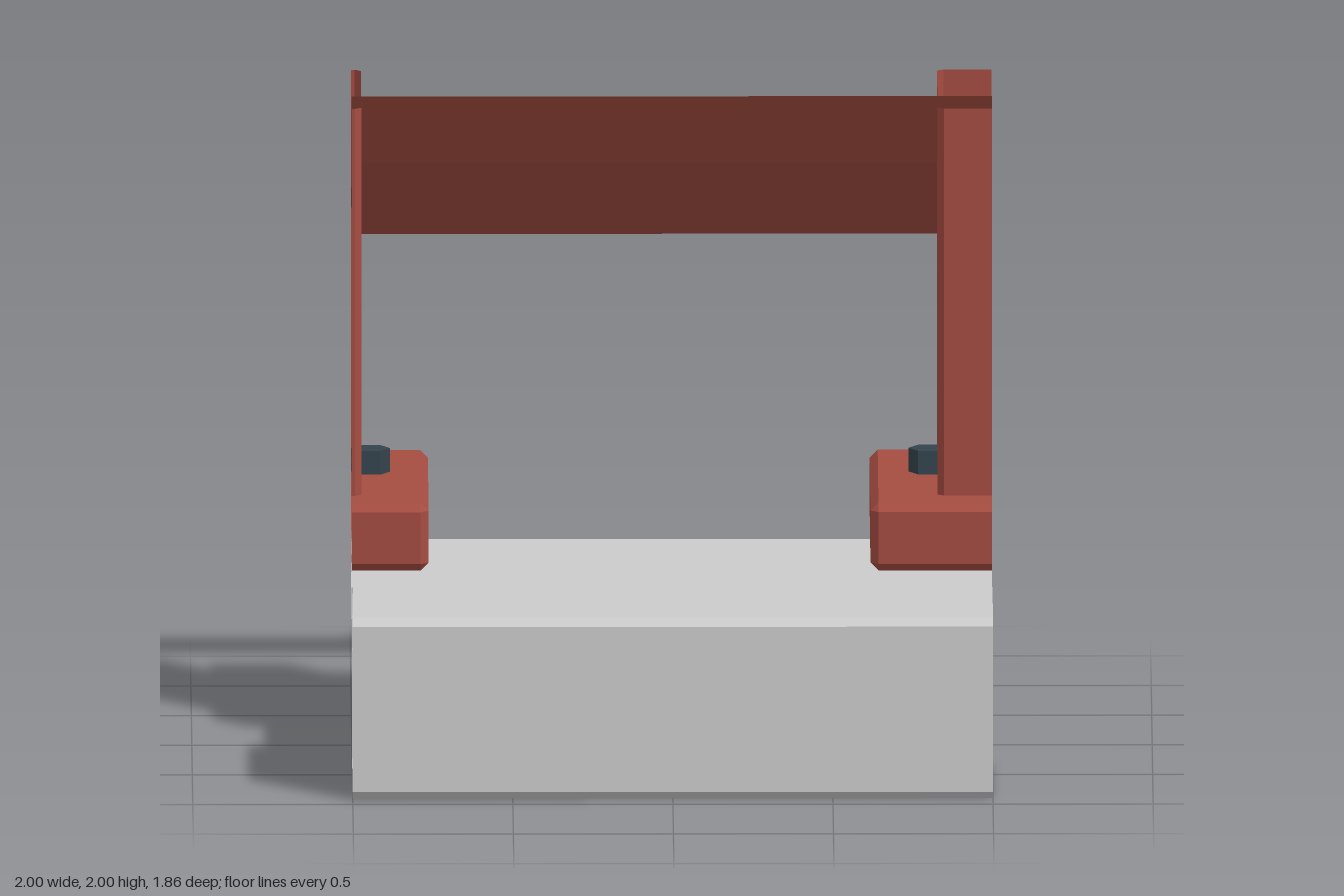
import * as THREE from 'three';

const mat = (color) => new THREE.MeshStandardMaterial({ color, flatShading: true, side: THREE.DoubleSide });

// Joins cross-sections (arrays of [x, y, z]) into a skin; optionally caps the first one
function loft(rings, closed, cap) {
  const pos = [], idx = [], n = rings[0].length;
  rings.forEach((r) => r.forEach((p) => pos.push(...p)));
  for (let r = 0; r < rings.length - 1; r++) {
    for (let i = 0; i < (closed ? n : n - 1); i++) {
      const a = r * n + i, b = r * n + (i + 1) % n;
      idx.push(a, b, a + n, b, b + n, a + n);
    }
  }
  if (cap) for (let i = 1; i < n - 1; i++) idx.push(0, i + 1, i);
  const g = new THREE.BufferGeometry();
  g.setAttribute('position', new THREE.Float32BufferAttribute(pos, 3));
  g.setIndex(idx);
  const flat = g.toNonIndexed();
  flat.computeVertexNormals();
  return flat;
}

// Profile of [z, y] points swept along the whole width
const sweep = (profile, closed) =>
  loft([-1, 1].map((x) => profile.map(([z, y]) => [x, y, z])), closed, false);

// Bevelled block with a closed end at endX, cut open at cutX
function cutBlock(section, bevel, endX, cutX, openTop) {
  const zs = section.map((p) => p[0]), ys = section.map((p) => p[1]);
  const z0 = Math.min(...zs) + bevel, z1 = Math.max(...zs) - bevel;
  const y0 = Math.min(...ys) + bevel, y1 = Math.max(...ys) - (openTop ? 0 : bevel);
  const inset = section.map(([z, y]) => [
    THREE.MathUtils.clamp(z, z0, z1), THREE.MathUtils.clamp(y, y0, y1)]);
  const at = (pts, x) => pts.map(([z, y]) => [x, y, z]);
  const step = Math.sign(cutX - endX) * bevel;
  return loft([at(inset, endX), at(section, endX + step), at(section, cutX)], !openTop, true);
}

// Rectangle with cut corners, as [z, y] points
const octagon = (z0, z1, y0, y1, b) => [
  [z1, y0 + b], [z1, y1 - b], [z1 - b, y1], [z0 + b, y1],
  [z0, y1 - b], [z0, y0 + b], [z0 + b, y0], [z1 - b, y0]];

export function createModel() {
  const model = new THREE.Group();
  const grey = mat(0xcccccc), red = mat(0xa54c41), steel = mat(0x34444d);
  const add = (name, geometry, material) => {
    const mesh = new THREE.Mesh(geometry, material);
    mesh.name = name;
    model.add(mesh);
    return mesh;
  };

  // Hollow front beam and the thin slab running back out of it
  add('frontBeam', sweep(octagon(0.36, 0.925, 0, 0.575, 0.025), true), grey);
  add('slab', sweep([[-0.93, 0.48], [0.79, 0.48], [0.79, 0.375], [-0.93, 0.375]], false), grey);

  // Feet and posts, cut off where the module meets its neighbours
  const footSection = octagon(-0.92, 0.025, 0.555, 0.77, 0.025);
  const postSection = [[-0.12, 2], [-0.12, 0.645], [-0.145, 0.62],
    [-0.755, 0.62], [-0.78, 0.645], [-0.78, 2]];
  const sides = [
    { side: 'left', cut: 1, foot: 0.62, post: 0.83, nut: 0.80 },
    { side: 'right', cut: -1, foot: -0.76, post: -0.97, nut: -0.94 }];
  for (const { side, cut, foot, post, nut } of sides) {
    add(side + 'Foot', cutBlock(footSection, 0.025, foot, cut, false), red);
    add(side + 'Post', cutBlock(postSection, 0.02, post, cut, true), red);
    // Hexagonal nut set halfway into the post wall
    const hex = new THREE.CylinderGeometry(0.06, 0.06, 0.075, 6).rotateY(Math.PI / 2);
    add(side + 'Nut', hex, steel).position.set(nut, 0.823, -0.446);
  }

  // Folded sloping panel between the posts
  add('slopingPanel', sweep([[-0.33, 2], [-0.53, 1.75], [-0.93, 1.45]], false), red);

  return model;
}
